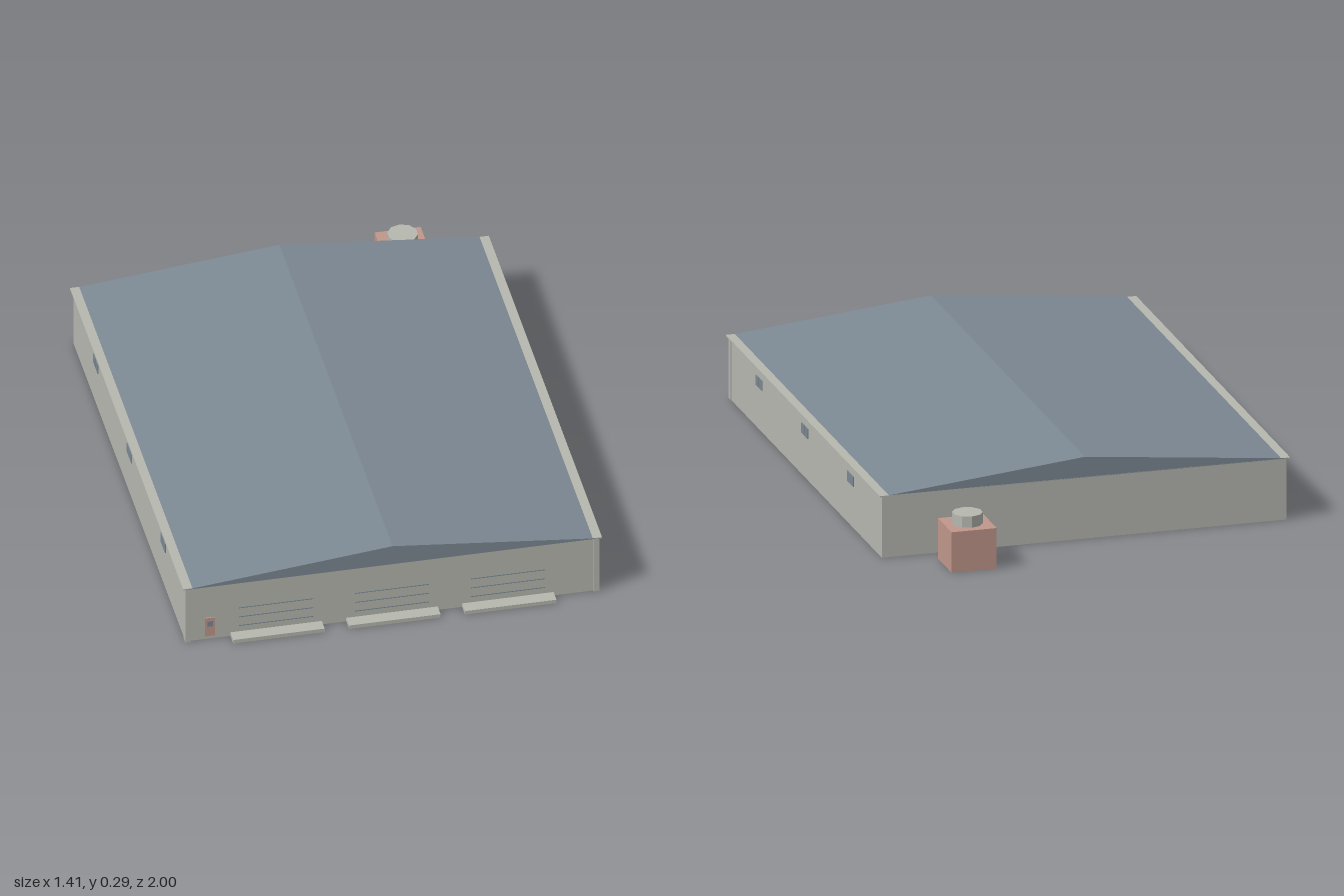
import * as THREE from 'three';

const mat = (name, color) => {
  const m = new THREE.MeshStandardMaterial({ color });
  m.name = name;
  return m;
};

export function createModel() {
  const model = new THREE.Group();
  model.name = 'warehouse';
  const wall = mat('wall grey', 0xb6b8b0);
  const slate = mat('roof slate', 0x7c8893);
  const brick = mat('dusty red', 0xc0978a);

  // Box given by its limits on each axis
  const box = (name, material, [x0, x1], [y0, y1], [z0, z1], parent = model) => {
    const mesh = new THREE.Mesh(new THREE.BoxGeometry(x1 - x0, y1 - y0, z1 - z0), material);
    mesh.position.set((x0 + x1) / 2, (y0 + y1) / 2, (z0 + z1) / 2);
    mesh.name = name;
    parent.add(mesh);
    return mesh;
  };

  const half = 0.695, back = -0.785, front = 0.955;
  const roofBack = -0.795, roofFront = 0.966;

  // Main hall and the thin eave slab that shows as a strip beside the roof
  box('hall', wall, [-half, half], [0, 0.214], [back, front]);
  box('eaveSlab', wall, [-0.705, 0.705], [0.2135, 0.2177], [roofBack, roofFront - 0.001]);

  // Low gable roof
  const gable = new THREE.Shape([
    new THREE.Vector2(-0.7, 0.215),
    new THREE.Vector2(0.7, 0.215),
    new THREE.Vector2(0, 0.287),
  ]);
  const roof = new THREE.Mesh(
    new THREE.ExtrudeGeometry(gable, { depth: roofFront - roofBack, bevelEnabled: false }), slate);
  roof.position.z = roofBack;
  roof.name = 'roof';
  model.add(roof);

  // Front corner strips
  for (const s of [-1, 1]) {
    box('cornerStrip', wall, [s * 0.687 - 0.01, s * 0.687 + 0.01], [0, 0.214], [front - 0.02, front + 0.006]);
  }

  // Three loading bays: ramp and door slats
  for (const x of [-0.39, 0, 0.39]) {
    const bay = new THREE.Group();
    bay.name = 'loadingBay';
    box('ramp', wall, [x - 0.154, x + 0.154], [0, 0.014], [front - 0.005, 1], bay);
    for (const y of [0.038, 0.073, 0.109]) {
      box('doorSlat', slate, [x - 0.125, x + 0.125], [y - 0.0015, y + 0.0015], [front - 0.002, front + 0.002], bay);
    }
    model.add(bay);
  }

  // Staff door with a small window
  box('staffDoor', brick, [-0.63, -0.597], [0.013, 0.085], [front - 0.002, front + 0.004]);
  box('staffDoorWindow', slate, [-0.623, -0.604], [0.052, 0.073], [front, front + 0.006]);

  // Paired windows on both long sides
  for (const s of [-1, 1]) {
    for (const z of [0.613, 0.09, -0.432]) {
      for (const dz of [-0.019, 0.019]) {
        box(s > 0 ? 'leftWindow' : 'rightWindow', slate,
          [s * half - 0.003, s * half + 0.003], [0.145, 0.18], [z + dz - 0.017, z + dz + 0.017]);
      }
    }
  }

  // Cooling unit behind the hall
  const unit = new THREE.Group();
  unit.name = 'coolingUnit';
  box('unitHousing', brick, [0.365, 0.52], [0, 0.14], [-1, -0.845], unit);
  const fanGeometry = new THREE.CylinderGeometry(0.051, 0.051, 0.04, 10).toNonIndexed();
  fanGeometry.computeVertexNormals();
  const fan = new THREE.Mesh(fanGeometry, wall);
  fan.position.set(0.4425, 0.159, -0.9225);
  fan.name = 'unitFan';
  unit.add(fan);
  model.add(unit);

  return model;
}
